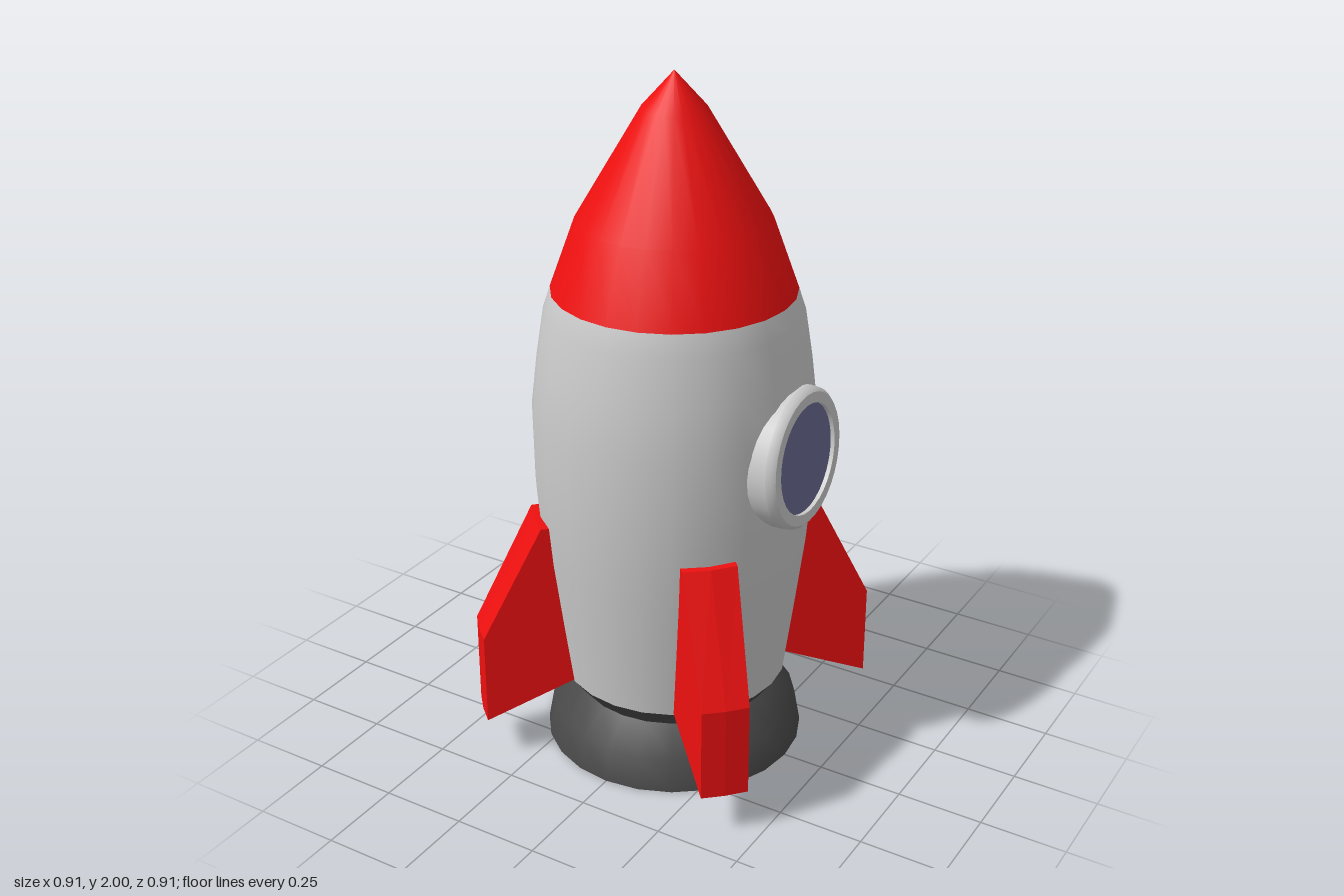
import * as THREE from 'three';

const grey = new THREE.MeshStandardMaterial({ color: 0xcccccc });
const red = new THREE.MeshStandardMaterial({ color: 0xee1010 });
const dark = new THREE.MeshStandardMaterial({ color: 0x484848 });
const glass = new THREE.MeshStandardMaterial({ color: 0x6c6a94 });

const SIDES = 24;

// Surface of revolution from [radius, height] pairs, listed bottom to top.
function lathe(name, profile, material, sides = SIDES) {
  const points = profile.map(([r, y]) => new THREE.Vector2(r, y));
  const mesh = new THREE.Mesh(new THREE.LatheGeometry(points, sides), material);
  mesh.name = name;
  return mesh;
}

// Thick fin in the x-y plane, tapering outward with a slightly rounded outer edge.
function finGeometry() {
  const outline = [[0.28, 0.25], [0.33, 0.235], [0.58, 0.125], [0.58, 0.4], [0.41, 0.74], [0.28, 0.74]];
  const shape = new THREE.Shape(outline.map(([x, y]) => new THREE.Vector2(x, y)));
  const geometry = new THREE.ExtrudeGeometry(shape, { depth: 2, steps: 2, bevelEnabled: false });
  const pos = geometry.attributes.position;
  for (let i = 0; i < pos.count; i++) {
    const d = pos.getX(i);
    const half = THREE.MathUtils.mapLinear(d, 0.4, 0.58, 0.077, 0.067);
    const z = (pos.getZ(i) - 1) * half;
    pos.setX(i, Math.sqrt(d * d - z * z));
    pos.setZ(i, z);
  }
  geometry.computeVertexNormals();
  return geometry;
}

// Round porthole built around +y, turned to face the model's left.
function porthole() {
  const group = new THREE.Group();
  group.name = 'porthole';
  group.add(lathe('windowRimSide', [[0.2, -0.12], [0.2, -0.025]], grey, 32));
  group.add(lathe('windowRimBevel', [[0.2, -0.025], [0.197, -0.01], [0.187, 0]], grey, 32));
  group.add(lathe('windowRimFace', [[0.187, 0], [0.157, 0]], grey, 32));
  group.add(lathe('windowRimInside', [[0.157, 0], [0.157, -0.015]], grey, 32));
  const pane = new THREE.Mesh(new THREE.CircleGeometry(0.157, 32), glass);
  pane.name = 'windowPane';
  pane.rotation.x = -Math.PI / 2;
  pane.position.y = -0.012;
  group.add(pane);
  group.position.set(0.425, 0.985, 0);
  group.rotation.z = -Math.PI / 2 + 0.05;
  return group;
}

export function createModel() {
  const rocket = new THREE.Group();
  rocket.name = 'rocket';

  // Hull and nose
  rocket.add(lathe('hull', [
    [0.33, 0.23], [0.355, 0.42], [0.38, 0.62], [0.397, 0.82],
    [0.4, 1.05], [0.382, 1.2], [0.36, 1.34], [0.34, 1.4],
  ], grey));
  rocket.add(lathe('noseCone', [[0.34, 1.4], [0.268, 1.6], [0.09, 1.9], [0, 2]], red));

  // Engine: tapered neck, flared nozzle and closed base
  rocket.add(lathe('engineNeck', [[0.285, 0.17], [0.33, 0.23]], dark));
  rocket.add(lathe('engineNozzle', [[0.38, 0], [0.362, 0.1], [0.285, 0.17]], dark));
  rocket.add(lathe('engineBase', [[0, 0], [0.38, 0]], dark));

  // Four fins on the diagonals
  const geometry = finGeometry();
  for (let i = 0; i < 4; i++) {
    const fin = new THREE.Mesh(geometry, red);
    fin.name = 'fin' + (i + 1);
    fin.rotation.y = Math.PI / 4 + i * Math.PI / 2;
    rocket.add(fin);
  }

  rocket.add(porthole());
  return rocket;
}
